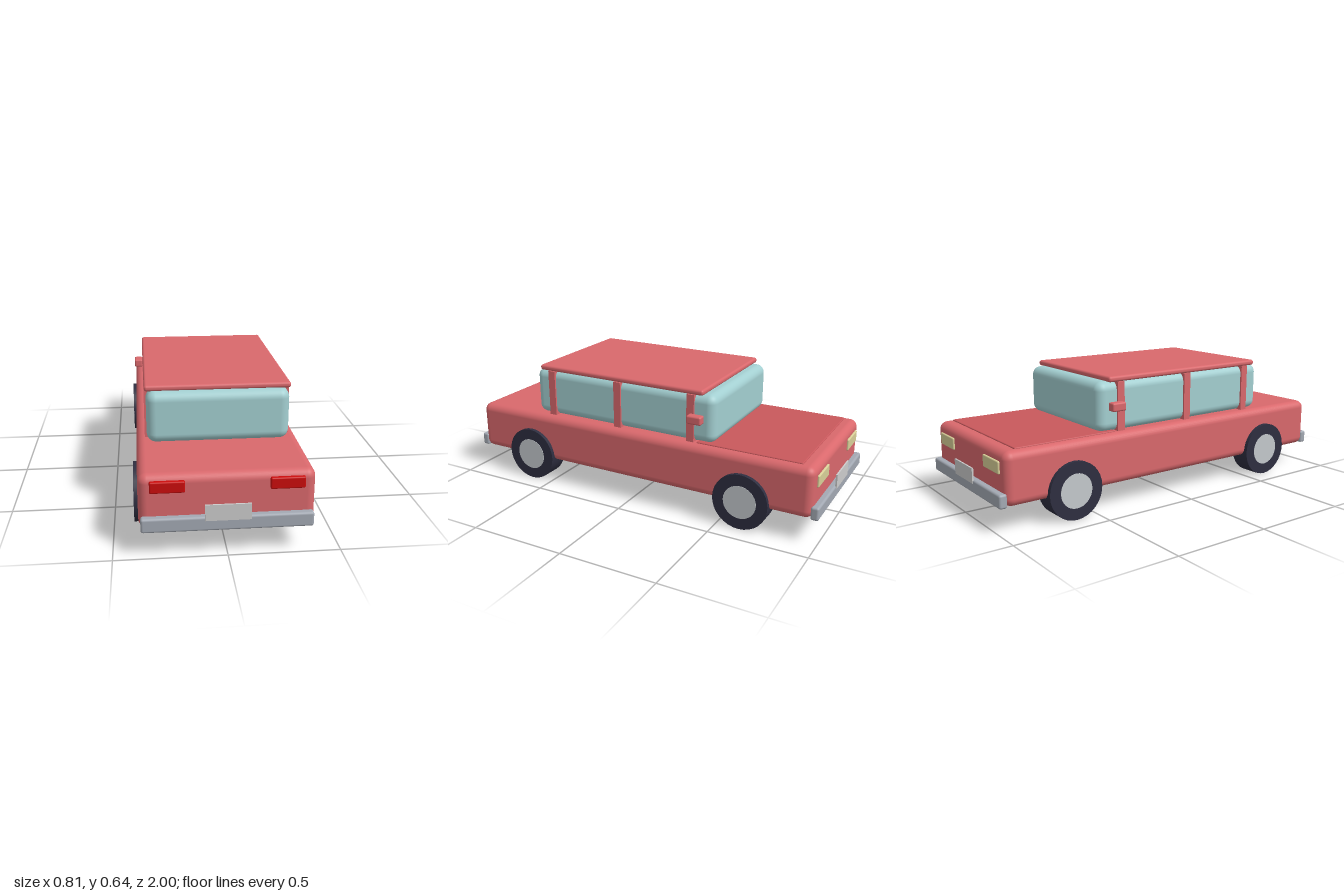
import * as THREE from 'three';
import { RoundedBoxGeometry } from 'three/addons/geometries/RoundedBoxGeometry.js';

const mat = (color) => new THREE.MeshStandardMaterial({ color });

export function createModel() {
  const car = new THREE.Group();
  car.name = 'car';

  const paint = mat(0xd9686c);
  const hoodPaint = mat(0xc9585c);
  const glass = mat(0xa3cfd1);
  const chrome = mat(0xa3a9b3);
  const rubber = mat(0x2e2e40);
  const hubGrey = mat(0xc4c8cc);
  const plateGrey = mat(0xc0c0c0);
  const tailRed = mat(0xcc0c0c);
  const lampYellow = mat(0xd8cf98);

  // Box given by its extents on each axis; radius 0 keeps sharp edges
  function box(name, material, [x0, x1], [y0, y1], [z0, z1], radius = 0) {
    const size = [x1 - x0, y1 - y0, z1 - z0];
    const geometry = radius
      ? new RoundedBoxGeometry(...size, 4, radius)
      : new THREE.BoxGeometry(...size);
    const mesh = new THREE.Mesh(geometry, material);
    mesh.name = name;
    mesh.position.set((x0 + x1) / 2, (y0 + y1) / 2, (z0 + z1) / 2);
    car.add(mesh);
    return mesh;
  }

  // Same box on both sides of the car
  function pair(name, material, [x0, x1], y, z, radius) {
    box(name + 'Left', material, [x0, x1], y, z, radius);
    box(name + 'Right', material, [-x1, -x0], y, z, radius);
  }

  // Body shell, cabin glass, roof and raised panel
  box('body', paint, [-0.385, 0.385], [0.12, 0.375], [-0.967, 0.967], 0.04);
  box('cabinGlass', glass, [-0.336, 0.336], [0.372, 0.62], [-0.45, 0.61], 0.045);
  box('roof', paint, [-0.344, 0.344], [0.617, 0.645], [-0.39, 0.572], 0.012);
  box('hood', hoodPaint, [-0.345, 0.345], [0.36, 0.381], [-0.9, -0.36], 0.005);

  // Window pillars
  for (const z of [0.5, 0.093, -0.323]) {
    pair('pillar', paint, [0.315, 0.345], [0.365, 0.617], [z - 0.02, z + 0.02]);
  }

  // Side mirrors
  pair('mirror', paint, [0.345, 0.389], [0.482, 0.525], [-0.4, -0.322], 0.009);

  // Lights
  pair('tailLight', tailRed, [0.183, 0.335], [0.297, 0.35], [0.945, 0.981], 0.007);
  pair('headLight', lampYellow, [0.17, 0.33], [0.267, 0.327], [-0.976, -0.94], 0.006);

  // Bumpers and blank plates at both ends
  for (const [end, s] of [['front', 1], ['back', -1]]) {
    const span = (a, b) => (s > 0 ? [a, b] : [-b, -a]);
    box(end + 'Bumper', chrome, [-0.376, 0.376], [0.12, 0.187], span(0.957, 0.997), 0.011);
    box(end + 'Plate', plateGrey, [-0.1, 0.1], [0.17, 0.245], span(0.992, 1.0));
  }

  // Wheels: tyre plus a hub showing on both faces
  const tyreGeometry = new THREE.CylinderGeometry(0.142, 0.142, 0.108, 32).rotateZ(Math.PI / 2);
  const hubGeometry = new THREE.CylinderGeometry(0.085, 0.085, 0.111, 32).rotateZ(Math.PI / 2);
  for (const x of [-0.351, 0.351]) {
    for (const z of [-0.62, 0.622]) {
      const wheel = new THREE.Group();
      wheel.name = (z > 0 ? 'front' : 'back') + 'Wheel' + (x > 0 ? 'Left' : 'Right');
      const tyre = new THREE.Mesh(tyreGeometry, rubber);
      tyre.name = 'tyre';
      const hub = new THREE.Mesh(hubGeometry, hubGrey);
      hub.name = 'hub';
      wheel.add(tyre, hub);
      wheel.position.set(x, 0.142, z);
      car.add(wheel);
    }
  }

  return car;
}
